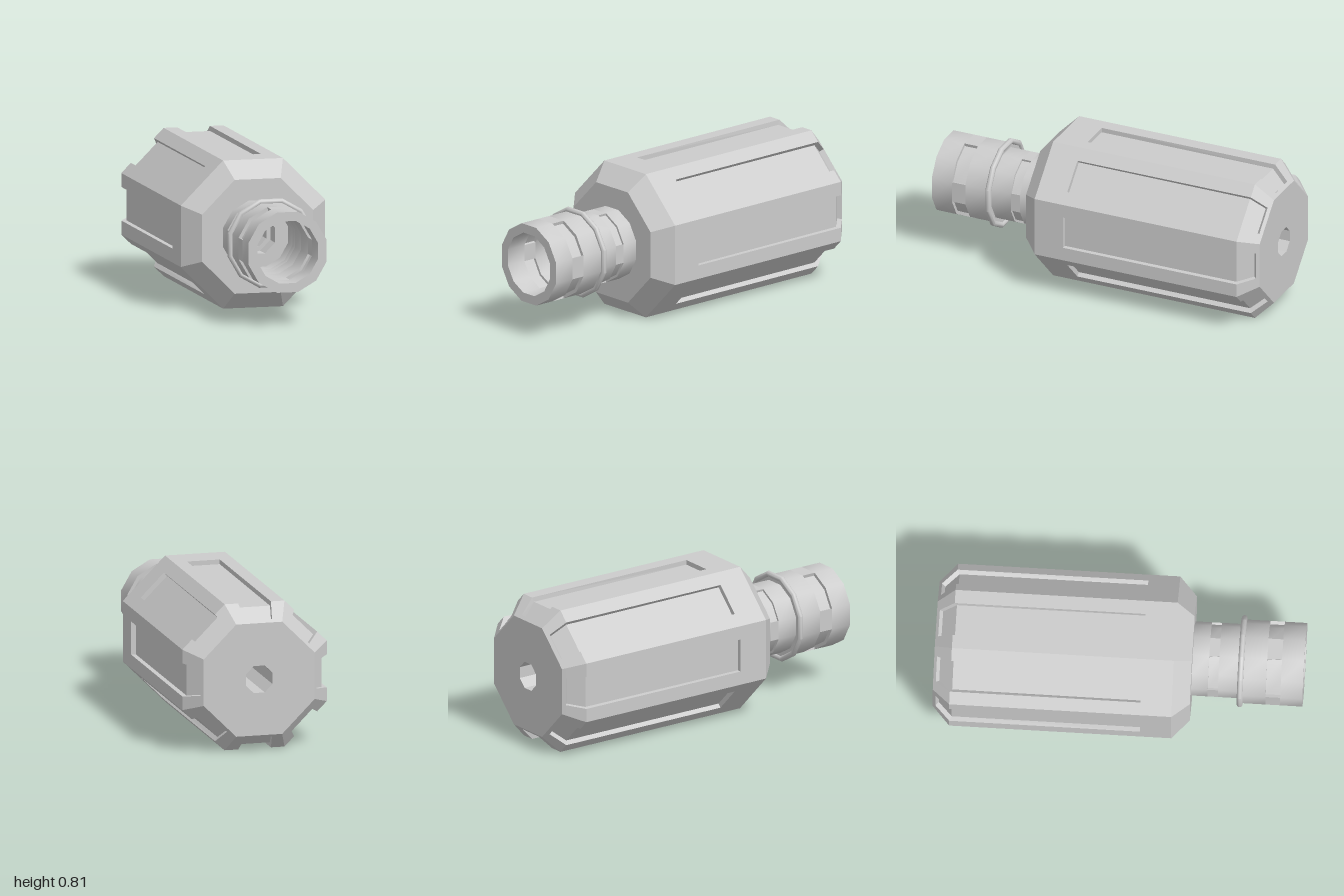
import * as THREE from 'three';
import { toCreasedNormals } from 'three/addons/utils/BufferGeometryUtils.js';

const AXIS_Y = 0.406;
const TAN = Math.tan(Math.PI / 8);
const smooth = new THREE.MeshStandardMaterial({ color: 0xcccccc });
const flat = new THREE.MeshStandardMaterial({ color: 0xcccccc, flatShading: true, side: THREE.DoubleSide });

function part(group, name, geometry, material) {
  const mesh = new THREE.Mesh(geometry, material);
  mesh.name = name;
  group.add(mesh);
  return mesh;
}

// regular polygon with a flat on top, sized by the distance to its flats
function polygon(sides, apothem) {
  const r = apothem / Math.cos(Math.PI / sides);
  return Array.from({ length: sides }, (_, i) => {
    const a = (i + 0.5) * 2 * Math.PI / sides;
    return new THREE.Vector2(r * Math.cos(a), r * Math.sin(a));
  });
}

// 12-sided outline with four notches, each two facets wide (depth < 0 cuts outwards)
function notched(apothem, depth) {
  const k = (apothem - depth) / apothem;
  return polygon(12, apothem).flatMap((p, i) => {
    const low = p.clone().multiplyScalar(k);
    return [[p, low], [low], [low, p]][i % 3];
  });
}

// length of barrel between two z positions
function sleeve(outer, inner, z0, z1) {
  const shape = new THREE.Shape(outer);
  shape.holes.push(new THREE.Path(inner));
  const geo = new THREE.ExtrudeGeometry(shape, { depth: z1 - z0, bevelEnabled: false });
  geo.translate(0, 0, z0);
  return toCreasedNormals(geo, 0.6);
}

// one of eight body sides, facing +y, with a groove running over the rear bevel
function bodySide() {
  // z, distance from axis
  const outer = [[0.395, 0.312], [0.3, 0.406], [0.13, 0.406], [-0.905, 0.406], [-0.985, 0.327], [-1, 0.312]];
  // z, distance from axis, half width of the groove at outer stations 2 to 4
  const rim = [[0.13, 0.406, 0.092], [-0.905, 0.406, 0.092], [-0.985, 0.327, 0.076]];
  const floor = [[0.13, 0.38, 0.092], [-0.893, 0.38, 0.09], [-0.967, 0.307, 0.076]];
  const pos = [];
  const quad = (a, b, c, d) => pos.push(...a, ...b, ...c, ...a, ...c, ...d);
  const edge = ([z, r], s) => [s * r * TAN, r, z];
  const at = ([z, r, h], s) => [s * h, r, z];

  for (let i = 0; i < 5; i++) {
    const f = outer[i], b = outer[i + 1];
    if (i < 2 || i > 3) {
      quad(edge(f, -1), edge(f, 1), edge(b, 1), edge(b, -1));
      continue;
    }
    const [rf, rb, gf, gb] = [rim[i - 2], rim[i - 1], floor[i - 2], floor[i - 1]];
    quad(edge(f, -1), at(rf, -1), at(rb, -1), edge(b, -1));
    quad(at(rf, 1), edge(f, 1), edge(b, 1), at(rb, 1));
    quad(at(gf, -1), at(gf, 1), at(gb, 1), at(gb, -1));
    quad(at(rf, -1), at(gf, -1), at(gb, -1), at(rb, -1));
    quad(at(gf, 1), at(rf, 1), at(rb, 1), at(gb, 1));
  }
  // groove ends
  quad(at(rim[0], -1), at(rim[0], 1), at(floor[0], 1), at(floor[0], -1));
  quad(at(floor[2], -1), at(floor[2], 1), at(rim[2], 1), at(rim[2], -1));

  const geo = new THREE.BufferGeometry();
  geo.setAttribute('position', new THREE.Float32BufferAttribute(pos, 3));
  geo.computeVertexNormals();
  return geo;
}

function endPlate(hole, z) {
  const shape = new THREE.Shape(polygon(8, 0.312));
  shape.holes.push(new THREE.Path(polygon(8, hole)));
  return new THREE.ShapeGeometry(shape).translate(0, 0, z);
}

export function createModel() {
  const model = new THREE.Group();
  model.name = 'groovedCylinder';
  model.position.y = AXIS_Y;

  // octagonal body
  const body = new THREE.Group();
  body.name = 'body';
  model.add(body);
  const side = bodySide();
  for (let i = 0; i < 8; i++) {
    part(body, 'groovedSide' + (i + 1), side, flat).rotation.z = i * Math.PI / 4;
  }
  part(body, 'frontPlate', endPlate(0.097, 0.395), flat);
  part(body, 'backPlate', endPlate(0.075, -1), flat);

  // stepped bore through the body
  const c = Math.cos(Math.PI / 8);
  const borePoints = [[0.097, 0.395], [0.097, 0.3], [0.075, 0.3], [0.075, -1]]
    .map(([r, z]) => new THREE.Vector2(r / c, z));
  const bore = new THREE.LatheGeometry(borePoints, 8, Math.PI / 8).rotateX(Math.PI / 2);
  part(body, 'bore', bore, flat);

  // hollow barrel, thinner at the rear, with two rows of four slots
  const barrel = new THREE.Group();
  barrel.name = 'barrel';
  model.add(barrel);
  const inner = polygon(12, 0.17);
  const rear = polygon(12, 0.195);
  const front = polygon(12, 0.22);
  part(barrel, 'rearNeck', sleeve(rear, inner, 0.395, 0.485), smooth);
  part(barrel, 'rearSlots', sleeve(notched(0.195, 0.012), inner, 0.485, 0.54), smooth);
  part(barrel, 'middleNeck', sleeve(rear, inner, 0.54, 0.655), smooth);
  part(barrel, 'frontSleeve', sleeve(front, inner, 0.655, 0.8), smooth);
  part(barrel, 'frontSlots', sleeve(notched(0.22, 0.018), notched(0.17, -0.014), 0.8, 0.88), smooth);
  part(barrel, 'muzzle', sleeve(front, inner, 0.88, 1), smooth);

  // rounded collar at the step
  const collar = new THREE.TorusGeometry(0.227 / Math.cos(Math.PI / 12), 0.016, 16, 12);
  collar.rotateZ(Math.PI / 12).translate(0, 0, 0.66);
  part(barrel, 'collar', toCreasedNormals(collar, 0.6), smooth);

  return model;
}
